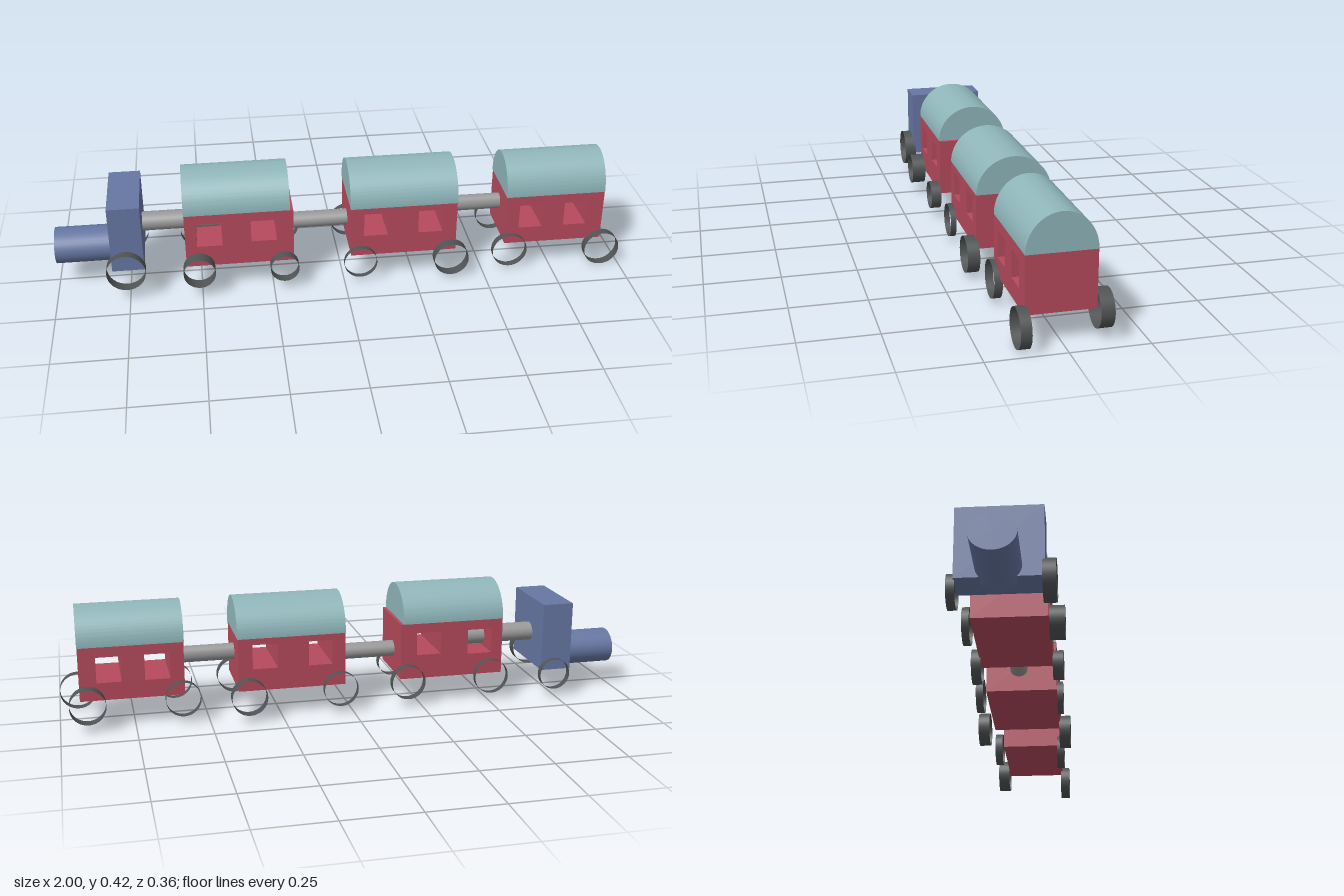
import * as THREE from 'three';
import { toCreasedNormals } from 'three/addons/utils/BufferGeometryUtils.js';

const mat = (color, extra = {}) => new THREE.MeshStandardMaterial({ color, ...extra });

export function createModel() {
  const train = new THREE.Group();
  train.name = 'train';
  const red = mat(0xb54a5c), teal = mat(0x8fb6ba), blue = mat(0x6677a3);
  const grey = mat(0x999999), dark = mat(0x505354, { side: THREE.DoubleSide });

  const add = (parent, name, geometry, material) => {
    const mesh = new THREE.Mesh(geometry, material);
    mesh.name = name;
    parent.add(mesh);
    return mesh;
  };

  // Cylinder lying along x from x0 to x1, with elliptical section ry by rz
  const bar = (name, x0, x1, y, z, ry, rz, material) => {
    const g = new THREE.CylinderGeometry(1, 1, x1 - x0, 32).rotateZ(Math.PI / 2);
    g.scale(1, ry, rz);
    add(train, name, g, material).position.set((x0 + x1) / 2, y, z);
  };

  // Engine: boiler and upright cab
  bar('boiler', -1, -0.765, 0.138, -0.008, 0.061, 0.071, blue);
  add(train, 'cab', new THREE.BoxGeometry(0.11, 0.242, 0.272), blue)
    .position.set(-0.75, 0.221, -0.006);

  // Coupling rods
  bar('couplingRod', -0.72, -0.425, 0.212, -0.01, 0.033, 0.036, grey);
  bar('couplingRod', -0.2, 0.05, 0.18, -0.006, 0.028, 0.031, grey);
  bar('couplingRod', 0.37, 0.61, 0.208, -0.003, 0.029, 0.025, grey);

  // Carriages: body x range and top, roof x range and top, z range, windows [x0, x1, y0, y1]
  const carriages = [
    { x: [-0.55, -0.176], top: 0.296, roof: [-0.551, -0.187], peak: 0.417, z: [-0.119, 0.127],
      windows: [[-0.51, -0.422, 0.174, 0.262], [-0.323, -0.234, 0.182, 0.262]] },
    { x: [0.025, 0.398], top: 0.282, roof: [0.023, 0.4], peak: 0.405, z: [-0.123, 0.128],
      windows: [[0.07, 0.154, 0.174, 0.26], [0.262, 0.349, 0.174, 0.26]] },
    { x: [0.58, 0.931], top: 0.282, roof: [0.578, 0.932], peak: 0.405, z: [-0.105, 0.115],
      windows: [[0.627, 0.712, 0.158, 0.247], [0.79, 0.873, 0.158, 0.247]] },
  ];
  const rectangle = (path, x0, x1, y0, y1) =>
    path.moveTo(x0, y0).lineTo(x1, y0).lineTo(x1, y1).lineTo(x0, y1).closePath();

  for (const c of carriages) {
    const carriage = new THREE.Group();
    carriage.name = 'carriage';
    train.add(carriage);
    const width = c.z[1] - c.z[0];

    // Solid body with window openings running right through
    const side = rectangle(new THREE.Shape(), ...c.x, 0.097, c.top);
    for (const w of c.windows) side.holes.push(rectangle(new THREE.Path(), ...w));
    add(carriage, 'carriageBody',
      new THREE.ExtrudeGeometry(side, { depth: width, bevelEnabled: false }), red)
      .position.z = c.z[0];

    // Barrel roof
    const arch = new THREE.Shape().absellipse(0, 0, width / 2, c.peak - c.top, 0, Math.PI, false, 0);
    const roof = new THREE.ExtrudeGeometry(arch,
      { depth: c.roof[1] - c.roof[0], bevelEnabled: false, curveSegments: 32 });
    roof.rotateY(Math.PI / 2);
    add(carriage, 'carriageRoof', toCreasedNormals(roof, 0.5), teal)
      .position.set(c.roof[0], c.top, (c.z[0] + c.z[1]) / 2);
  }

  // Thin open wheel rims: centre x, centre y, radius, z from, z to
  const wheels = [
    [-0.757, 0.108, 0.067, 0.122, 0.163], [-0.74, 0.088, 0.055, -0.165, -0.138],
    [-0.507, 0.094, 0.055, 0.129, 0.178], [-0.507, 0.09, 0.061, -0.144, -0.12],
    [-0.211, 0.083, 0.05, 0.126, 0.162], [-0.2, 0.09, 0.06, -0.147, -0.114],
    [0.045, 0.088, 0.06, -0.156, -0.13], [0.057, 0.078, 0.058, 0.13, 0.15],
    [0.368, 0.088, 0.061, -0.179, -0.138], [0.379, 0.075, 0.061, 0.124, 0.165],
    [0.588, 0.088, 0.06, -0.135, -0.107], [0.597, 0.075, 0.062, 0.106, 0.133],
    [0.907, 0.088, 0.061, -0.148, -0.105], [0.934, 0.063, 0.063, 0.108, 0.142],
  ];
  for (const [x, y, r, z0, z1] of wheels) {
    const rim = new THREE.CylinderGeometry(r, r, z1 - z0, 32, 1, true).rotateX(Math.PI / 2);
    add(train, 'wheel', rim, dark).position.set(x, y, (z0 + z1) / 2);
  }

  return train;
}
